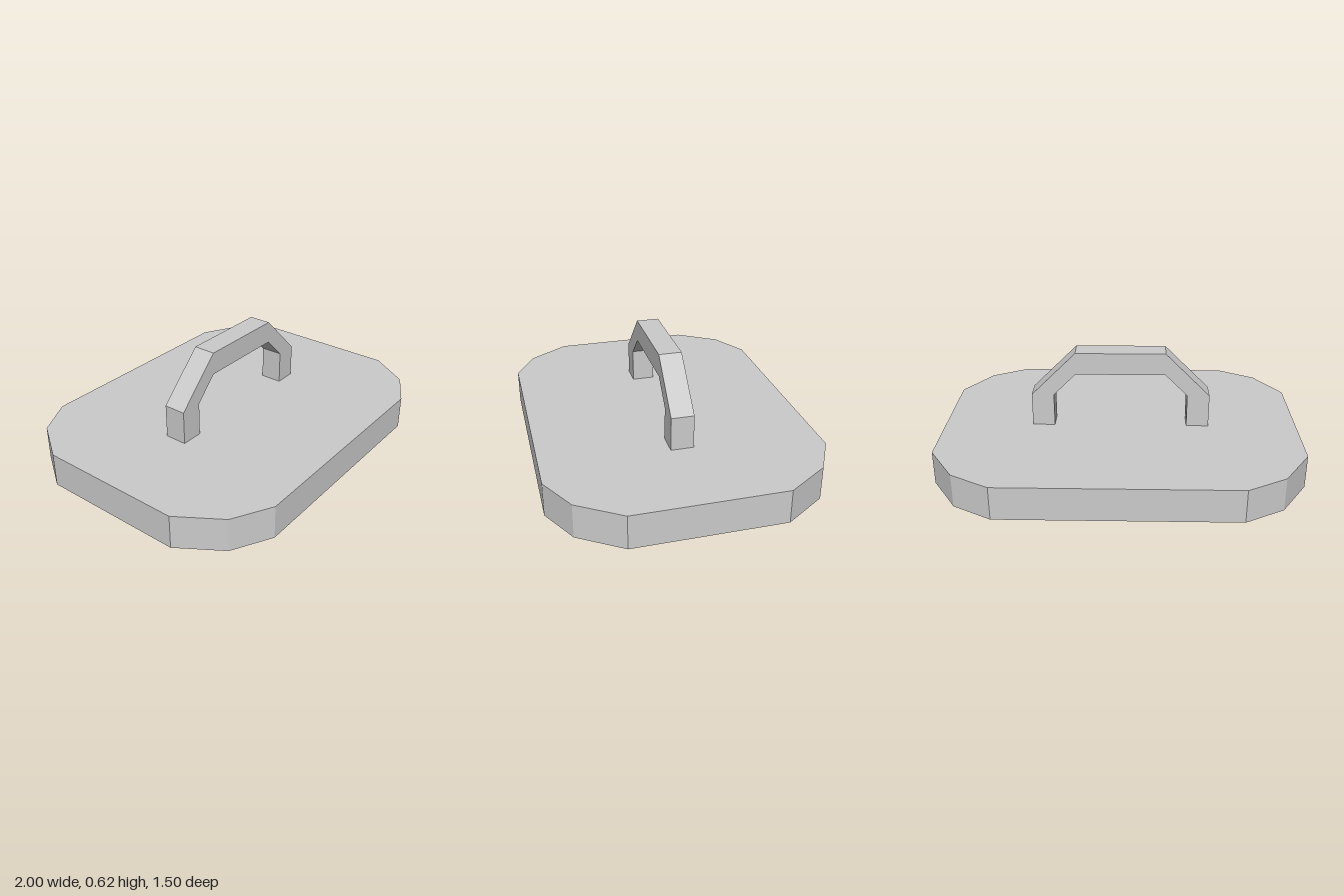
import * as THREE from 'three';

const material = new THREE.MeshStandardMaterial({ color: 0xcccccc, flatShading: true });

// Flat-sided slab from an outline, extruded along z
function slab(name, points, depth) {
  const shape = new THREE.Shape(points.map(([x, y]) => new THREE.Vector2(x, y)));
  const geometry = new THREE.ExtrudeGeometry(shape, { depth, bevelEnabled: false });
  const mesh = new THREE.Mesh(geometry, material);
  mesh.name = name;
  return mesh;
}

// Completes a right-hand half outline with its mirror image in x
const mirrorX = (half) => [...half, ...half.map(([x, y]) => [-x, y]).reverse()];

export function createModel() {
  const group = new THREE.Group();
  group.name = 'handledPlate';

  // Base plate with corners cut in three facets
  const plateHeight = 0.1875;
  const quarter = [[1, 0.405], [0.85, 0.635], [0.64, 0.75]];
  const rightHalf = [...quarter.map(([x, z]) => [x, -z]).reverse(), ...quarter];
  const plate = slab('basePlate', mirrorX(rightHalf), plateHeight);
  plate.geometry.rotateX(-Math.PI / 2);
  group.add(plate);

  // Square-section handle: upright legs, sloping shoulders, level grip
  const width = 0.125;
  const foot = plateHeight - 0.005;
  const outer = [[0.5, foot], [0.5, 0.375], [0.25, 0.625]];
  const inner = [[0.375, foot], [0.375, 0.375], [0.25, 0.5]];
  const handle = slab('handle', [...mirrorX(outer), ...mirrorX(inner).reverse()], width);
  handle.geometry.translate(0, 0, -width / 2);
  group.add(handle);

  return group;
}
